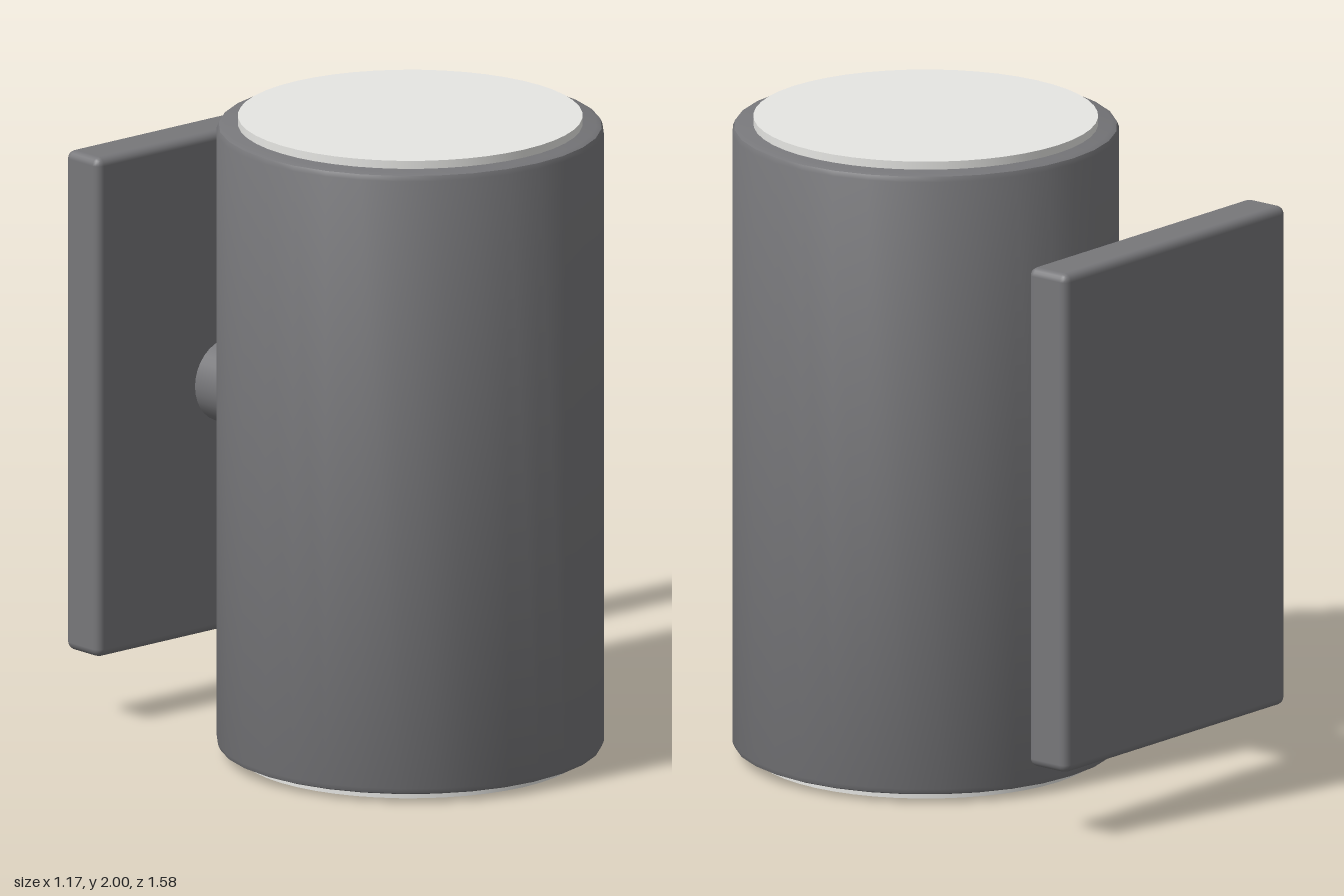
import * as THREE from 'three';
import { toCreasedNormals } from 'three/addons/utils/BufferGeometryUtils.js';
import { RoundedBoxGeometry } from 'three/addons/geometries/RoundedBoxGeometry.js';

export function createModel() {
  const group = new THREE.Group();
  const metal = new THREE.MeshStandardMaterial({ name: 'darkGrey', color: 0x77777a });
  const glass = new THREE.MeshStandardMaterial({ name: 'paleGlass', color: 0xe6e6e3 });

  const add = (name, geometry, material, x, y, z) => {
    const mesh = new THREE.Mesh(geometry, material);
    mesh.name = name;
    mesh.position.set(x, y, z);
    group.add(mesh);
    return mesh;
  };

  // Cylindrical housing with softly bevelled rims
  const R = 0.587, H = 1.95, B = 0.022;
  const profile = [new THREE.Vector2(0, 0)];
  for (let i = 0; i <= 2; i++) {
    const a = (i / 2) * Math.PI / 2;
    profile.push(new THREE.Vector2(R - B + B * Math.sin(a), B - B * Math.cos(a)));
  }
  for (let i = 2; i >= 0; i--) {
    const a = (i / 2) * Math.PI / 2;
    profile.push(new THREE.Vector2(R - B + B * Math.sin(a), H - B + B * Math.cos(a)));
  }
  profile.push(new THREE.Vector2(0, H));
  add('housing', toCreasedNormals(new THREE.LatheGeometry(profile, 32), 0.5), metal, 0, 0.025, 0.2);

  // Light-emitting discs on both ends
  for (const [name, y] of [['bottomLens', 0.02], ['topLens', 1.98]]) {
    add(name, new THREE.CylinderGeometry(0.522, 0.522, 0.04, 48), glass, 0, y, 0.2);
  }

  // Arm joining the housing to the wall plate
  const arm = add('arm', new THREE.CylinderGeometry(0.129, 0.129, 0.36, 32), metal, 0, 1, -0.5);
  arm.rotation.x = Math.PI / 2;

  // Wall plate
  add('wallPlate', new RoundedBoxGeometry(1.042, 1.566, 0.152, 2, 0.025), metal, 0, 1, -0.713);

  return group;
}
